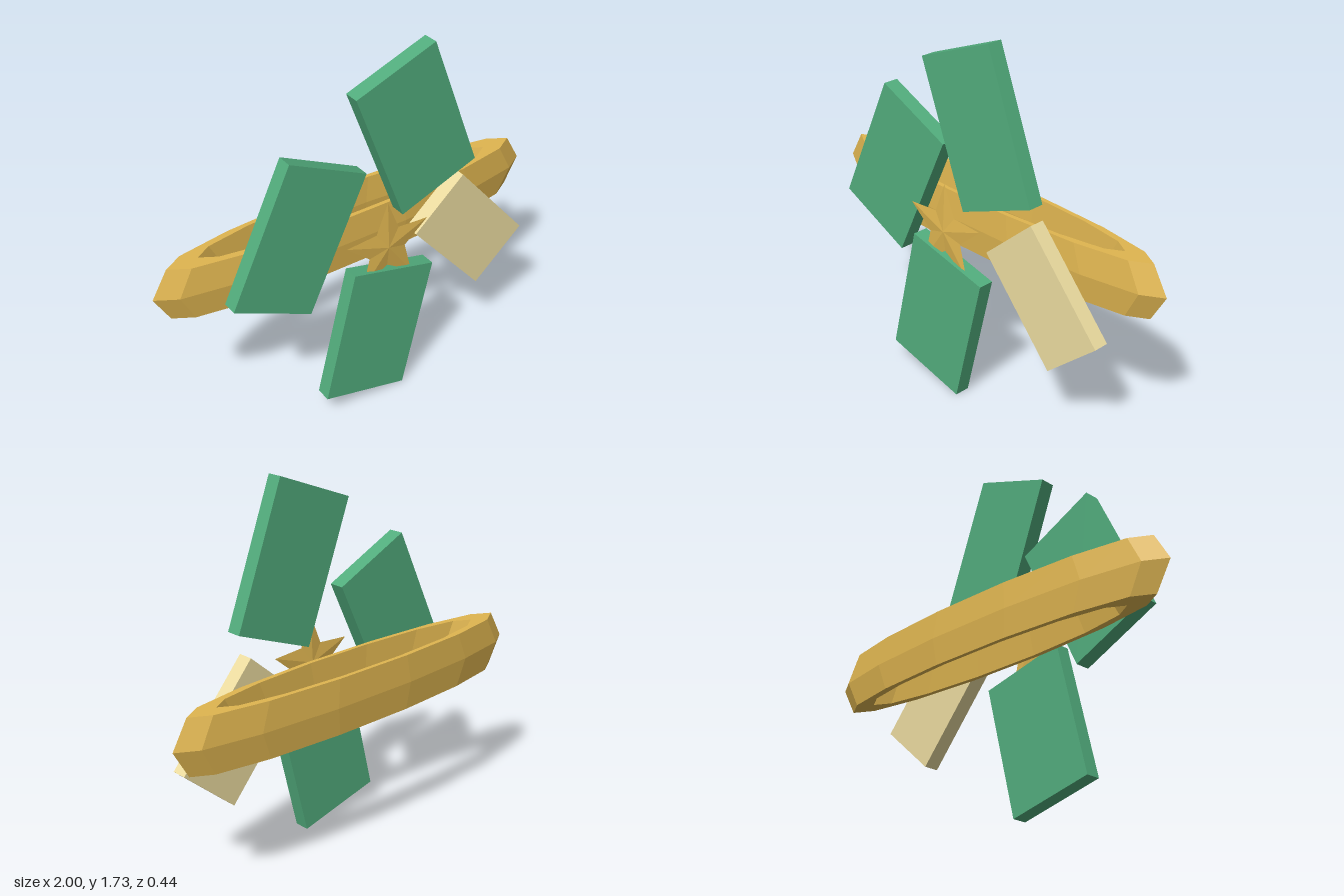
import * as THREE from 'three';

const material = (color) => new THREE.MeshStandardMaterial({ color, flatShading: true });

// Solid star, pointed at its centre on both faces
function starGeometry(outer, inner, halfDepth) {
  const rim = [];
  for (let i = 0; i < 10; i++) {
    const a = Math.PI / 2 + (i * Math.PI) / 5;
    const r = i % 2 ? inner : outer;
    rim.push([r * Math.cos(a), r * Math.sin(a), 0]);
  }
  const positions = [];
  rim.forEach((p, i) => {
    const q = rim[(i + 1) % 10];
    positions.push(...p, ...q, 0, 0, halfDepth);
    positions.push(...q, ...p, 0, 0, -halfDepth);
  });
  const geometry = new THREE.BufferGeometry();
  geometry.setAttribute('position', new THREE.Float32BufferAttribute(positions, 3));
  geometry.computeVertexNormals();
  return geometry;
}

export function createModel() {
  const model = new THREE.Group();
  const gold = material(0xdfb550);
  const green = material(0x52ad7d);
  const cream = material(0xecdca0);

  const add = (name, geometry, mat, x, y, z) => {
    const mesh = new THREE.Mesh(geometry, mat);
    mesh.name = name;
    mesh.position.set(x, y, z);
    model.add(mesh);
    return mesh;
  };

  // Flattened horizontal ring with a hexagonal section
  const ring = new THREE.TorusGeometry(0.85, 0.15, 6, 14);
  ring.rotateX(Math.PI / 2);
  ring.scale(1, 1, 0.134);
  ring.computeVertexNormals();
  add('ring', ring, gold, 0, 0.78, -0.09);

  // Tilted slabs: name, material, width, height, x, y, z, tilt in degrees
  const slabs = [
    ['topSlab', green, 0.423, 0.69, 0.17, 1.337, 0.145, 20.8],
    ['rightSlab', green, 0.42, 0.688, -0.408, 0.97, 0.105, -25.4],
    ['bottomSlab', green, 0.437, 0.654, -0.05, 0.374, 0.183, -13.8],
    ['leftSlab', cream, 0.343, 0.572, 0.518, 0.664, 0.107, 41],
  ];
  for (const [name, mat, w, h, x, y, z, tilt] of slabs) {
    const slab = add(name, new THREE.BoxGeometry(w, h, 0.073), mat, x, y, z);
    slab.rotation.z = THREE.MathUtils.degToRad(tilt);
  }

  // Central star
  add('star', starGeometry(0.227, 0.1, 0.013), gold, 0, 0.818, 0.2);

  return model;
}
